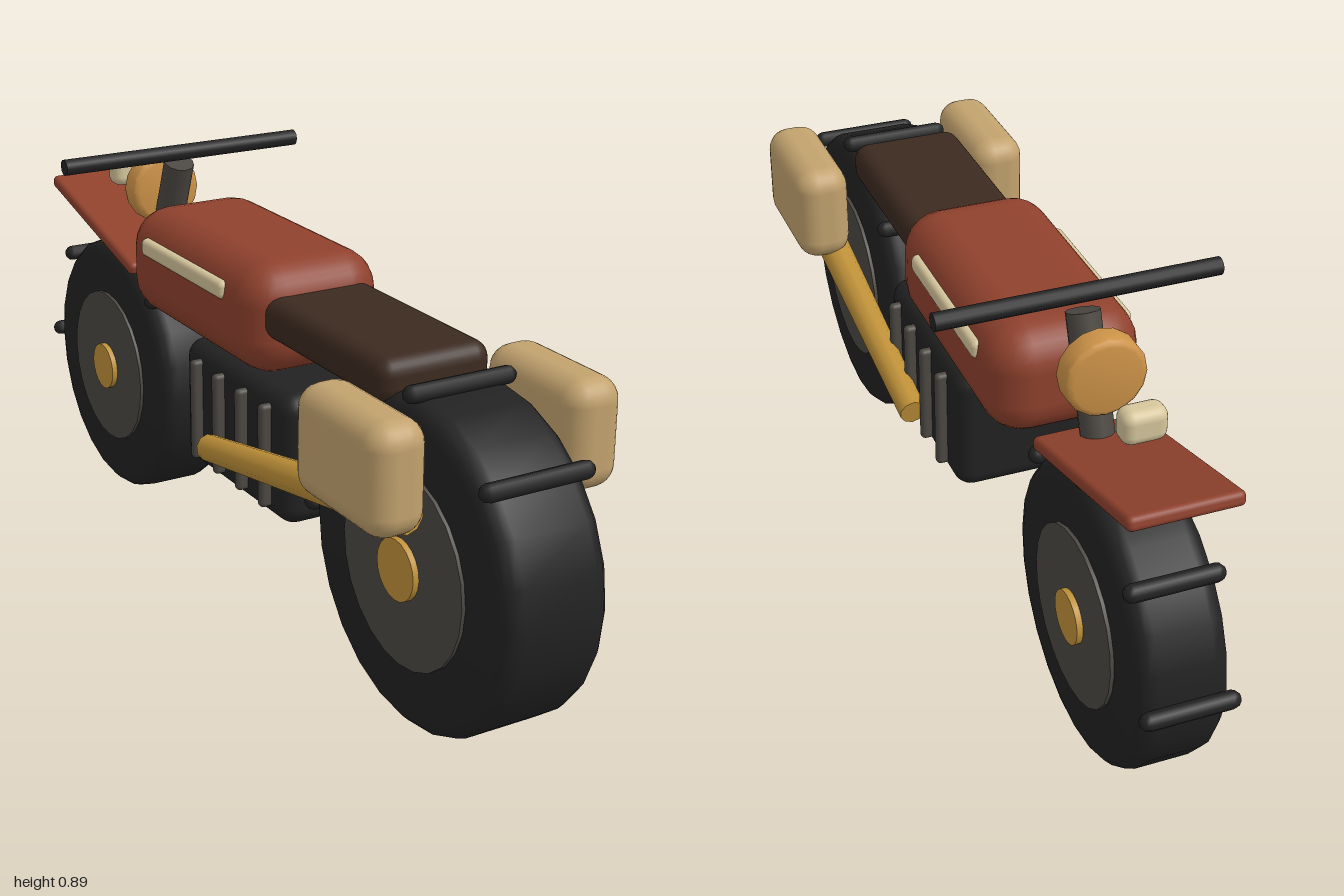
import * as THREE from 'three';
import { toCreasedNormals } from 'three/addons/utils/BufferGeometryUtils.js';
import { RoundedBoxGeometry } from 'three/addons/geometries/RoundedBoxGeometry.js';

const material = (name, color) => {
  const m = new THREE.MeshStandardMaterial({ color });
  m.name = name;
  return m;
};

export function createModel() {
  const red = material('rust red', 0x8f412d);
  const black = material('rubber black', 0x222222);
  const grey = material('dark metal', 0x4c4843);
  const gold = material('brass', 0xbf9139);
  const tan = material('canvas tan', 0xc2a26e);
  const cream = material('cream', 0xd6c69c);
  const brown = material('seat leather', 0x3c2a20);
  const amber = material('amber', 0xcd9348);

  const model = new THREE.Group();
  model.name = 'motorcycle';

  function add(parent, name, geometry, mat, x = 0, y = 0, z = 0) {
    const mesh = new THREE.Mesh(geometry, mat);
    mesh.name = name;
    mesh.position.set(x, y, z);
    parent.add(mesh);
    return mesh;
  }

  const roundBox = (w, h, d, r) => new RoundedBoxGeometry(w, h, d, 3, r);

  // Cylinder running between two points
  function rod(name, a, b, ra, rb, mat, sides) {
    const dir = b.clone().sub(a);
    const geo = new THREE.CylinderGeometry(rb, ra, dir.length(), sides);
    const mid = a.clone().add(b).multiplyScalar(0.5);
    const mesh = add(model, name, geo, mat, mid.x, mid.y, mid.z);
    mesh.quaternion.setFromUnitVectors(new THREE.Vector3(0, 1, 0), dir.normalize());
    return mesh;
  }

  // Solid of revolution about the y axis with bevelled rims
  function bevelledDrum(r, half, bevel, sides) {
    const pts = [[0, -half], [r - bevel, -half]];
    for (let i = 1; i <= 3; i++) {
      const a = (i / 3) * Math.PI / 2;
      pts.push([r - bevel + bevel * Math.sin(a), -half + bevel * (1 - Math.cos(a))]);
    }
    for (let i = pts.length - 1; i >= 0; i--) pts.push([pts[i][0], -pts[i][1]]);
    const geo = new THREE.LatheGeometry(pts.map(p => new THREE.Vector2(...p)), sides);
    return toCreasedNormals(geo, 0.6);
  }

  // Wheel: tyre, side discs, hub and four tread bars on the upper front
  function wheel(name, z, r, half, discR, hubR) {
    const g = new THREE.Group();
    g.name = name;
    g.position.set(0, r, z);
    model.add(g);
    add(g, 'tyre', bevelledDrum(r, half, 0.035, 24), black).rotation.z = Math.PI / 2;
    add(g, 'wheelDisc', new THREE.CylinderGeometry(discR, discR, half * 2 + 0.015, 24), grey).rotation.z = Math.PI / 2;
    add(g, 'hub', new THREE.CylinderGeometry(hubR, hubR, half * 2 + 0.04, 20), gold).rotation.z = Math.PI / 2;
    for (let i = 0; i < 4; i++) {
      const a = i * Math.PI / 4;
      const d = r + 0.01;
      const bar = add(g, 'treadBar', new THREE.CapsuleGeometry(0.018, half * 2 - 0.016, 3, 10), black,
        0, Math.sin(a) * d, -Math.cos(a) * d);
      bar.rotation.z = Math.PI / 2;
    }
  }
  wheel('rearWheel', 0.667, 0.333, 0.113, 0.2, 0.062);
  wheel('frontWheel', -0.667, 0.305, 0.09, 0.182, 0.055);

  // Body
  add(model, 'engine', roundBox(0.288, 0.283, 0.453, 0.04), black, 0, 0.399, 0.057);
  add(model, 'fuelTank', roundBox(0.32, 0.24, 0.605, 0.085), red, 0, 0.656, -0.122);
  add(model, 'seat', roundBox(0.25, 0.092, 0.48, 0.035), brown, 0, 0.671, 0.36);

  for (const s of [-1, 1]) {
    // Engine fins
    for (let i = 0; i < 4; i++) {
      add(model, 'engineFin', roundBox(0.04, 0.225, 0.022, 0.01), grey, s * 0.147, 0.4, 0.21 - i * 0.099);
    }
    add(model, 'tankStripe', roundBox(0.03, 0.04, 0.372, 0.013), cream, s * 0.153, 0.705, -0.134);
    add(model, 'saddlebag', roundBox(0.122, 0.222, 0.3, 0.048), tan, s * 0.213, 0.576, 0.665);
    rod('exhaust', new THREE.Vector3(s * 0.181, 0.354, 0.018), new THREE.Vector3(s * 0.181, 0.497, 0.77),
      0.029, 0.038, gold, 10);
  }

  // Steering and front end
  rod('steeringStem', new THREE.Vector3(0, 0.6, -0.548), new THREE.Vector3(0, 0.843, -0.456),
    0.034, 0.034, grey, 12);
  rod('handlebar', new THREE.Vector3(-0.288, 0.87, -0.44), new THREE.Vector3(0.288, 0.87, -0.44),
    0.018, 0.018, black, 12);
  add(model, 'headlight', bevelledDrum(0.083, 0.03, 0.014, 16), amber, 0, 0.764, -0.55).rotation.x = Math.PI / 2;
  add(model, 'frontMarker', roundBox(0.09, 0.07, 0.056, 0.022), cream, 0, 0.767, -0.727);
  add(model, 'frontFender', roundBox(0.226, 0.03, 0.45, 0.012), red, 0, 0.651, -0.708).rotation.x = 0.26;

  return model;
}
